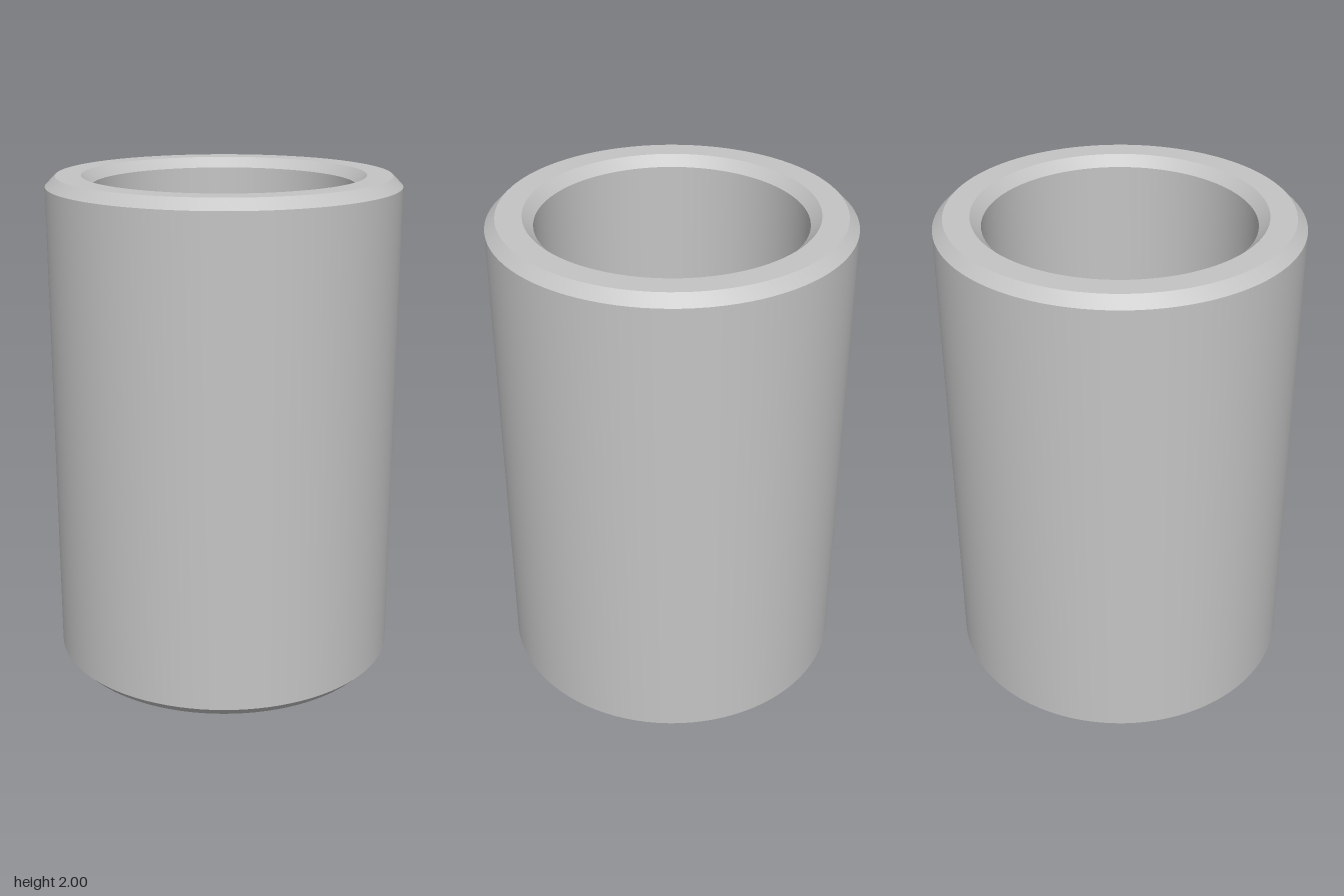
import * as THREE from 'three';
import { toCreasedNormals } from 'three/addons/utils/BufferGeometryUtils.js';

const HEIGHT = 2;
const OUTER = 0.695;
const INNER = 0.515;
const CHAMFER = 0.04;

export function createModel() {
  const group = new THREE.Group();
  group.name = 'bushing';

  const steel = new THREE.MeshStandardMaterial({ color: 0xc4c4c4 });
  steel.name = 'light grey steel';

  // Closed wall section: up the outside, over the rim, down the bore
  const profile = [
    [OUTER - CHAMFER, 0],
    [OUTER, CHAMFER],
    [OUTER, HEIGHT - CHAMFER],
    [OUTER - CHAMFER, HEIGHT],
    [INNER + CHAMFER, HEIGHT],
    [INNER, HEIGHT - CHAMFER],
    [INNER, CHAMFER],
    [INNER + CHAMFER, 0],
    [OUTER - CHAMFER, 0],
  ].map(([r, y]) => new THREE.Vector2(r, y));

  // Smooth around the axis, sharp at the chamfers
  const geometry = toCreasedNormals(new THREE.LatheGeometry(profile, 96), Math.PI / 6);
  const sleeve = new THREE.Mesh(geometry, steel);
  sleeve.name = 'chamferedSleeve';
  group.add(sleeve);

  return group;
}
